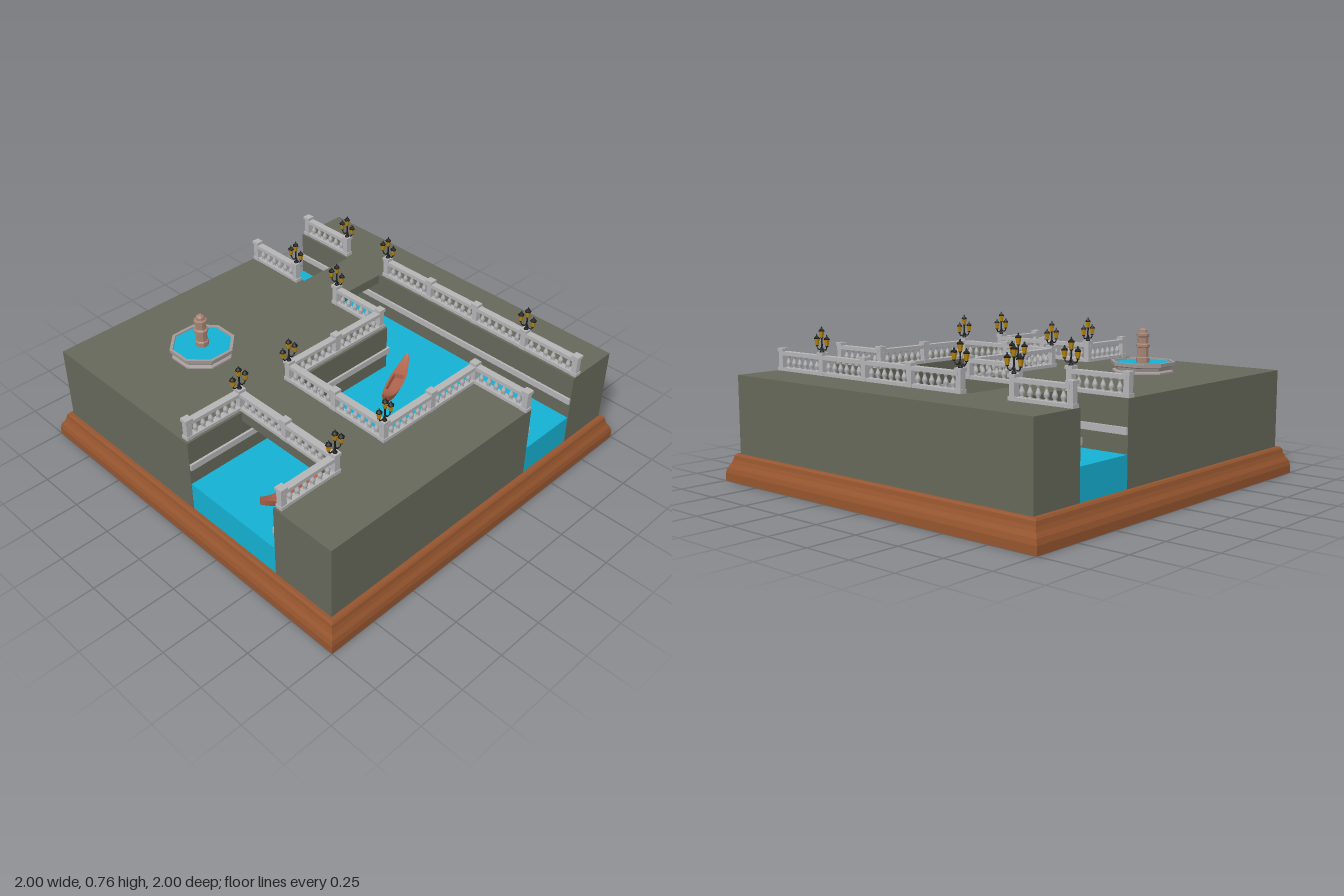
import * as THREE from 'three';
import { mergeGeometries } from 'three/addons/utils/BufferGeometryUtils.js';

const mat = (color, opts = {}) => new THREE.MeshStandardMaterial({ color, ...opts });
const M = {
  wood: mat(0x96552e, { flatShading: true }),
  ground: mat(0x66685a),
  water: mat(0x14b0d2),
  stone: mat(0xb4b4b6),
  basin: mat(0xa39a98, { flatShading: true }),
  column: mat(0xa58474, { flatShading: true }),
  iron: mat(0x1c1c1c),
  glass: mat(0xb8860b, { flatShading: true }),
  boat: mat(0xb0644c, { flatShading: true, side: THREE.DoubleSide }),
};
const DECK = 0.525, BED = 0.135, WATER = 0.285, STEP = 0.307;

function add(parent, name, geometry, material) {
  const mesh = new THREE.Mesh(geometry, material);
  mesh.name = name;
  parent.add(mesh);
  return mesh;
}
// Box given by its limits on each axis
function span(x0, x1, y0, y1, z0, z1) {
  return new THREE.BoxGeometry(x1 - x0, y1 - y0, z1 - z0)
    .translate((x0 + x1) / 2, (y0 + y1) / 2, (z0 + z1) / 2);
}
const lathe = (pts, n) => new THREE.LatheGeometry(pts.map(p => new THREE.Vector2(...p)), n);

// One balustrade bay along +x, starting at the origin
function bayGeometry() {
  const parts = [
    span(0, STEP, 0, 0.016, -0.017, 0.017),
    span(0, STEP, 0.078, 0.097, -0.018, 0.018),
  ];
  const baluster = lathe([[0.011, 0.014], [0.011, 0.02], [0.006, 0.024], [0.013, 0.036],
    [0.011, 0.046], [0.005, 0.062], [0.005, 0.068], [0.01, 0.072], [0.01, 0.08]], 8);
  for (let i = 0; i < 6; i++) parts.push(baluster.clone().translate(STEP * (i + 1) / 7, 0, 0));
  return mergeGeometries(parts);
}
function postGeometry() {
  return mergeGeometries([
    span(-0.019, 0.019, 0, 0.018, -0.019, 0.019),
    span(-0.015, 0.015, 0, 0.1, -0.015, 0.015),
    span(-0.02, 0.02, 0.096, 0.112, -0.02, 0.02),
  ]);
}

// Street lamp with three lanterns spread along x
function createLamp() {
  const lamp = new THREE.Group();
  lamp.name = 'streetLamp';
  const iron = [
    lathe([[0, 0], [0.012, 0], [0.01, 0.008], [0.004, 0.016], [0.004, 0.07], [0, 0.07]], 8),
  ];
  const glass = [];
  for (const [x, y] of [[-0.037, 0.028], [0, 0.066], [0.037, 0.028]]) {
    glass.push(lathe([[0, 0.006], [0.008, 0.006], [0.014, 0.038], [0, 0.038]], 6).translate(x, y, 0));
    iron.push(lathe([[0, 0], [0.006, 0.002], [0.009, 0.007], [0, 0.007]], 6).translate(x, y, 0));
    iron.push(lathe([[0, 0.037], [0.016, 0.037], [0.013, 0.044], [0.005, 0.05], [0.003, 0.058], [0, 0.062]], 6)
      .translate(x, y, 0));
    if (x) {
      const curve = new THREE.CatmullRomCurve3([[0, 0.034], [x * 0.35, 0.016], [x * 0.8, 0.016], [x, 0.03]]
        .map(p => new THREE.Vector3(p[0], p[1], 0)));
      iron.push(new THREE.TubeGeometry(curve, 10, 0.003, 5));
    }
  }
  add(lamp, 'lampFrame', mergeGeometries(iron), M.iron);
  add(lamp, 'lanternGlass', mergeGeometries(glass), M.glass);
  return lamp;
}

// Boat lofted from closed cross-sections along z, with a sunken cockpit
function boatGeometry(half) {
  const stations = [];
  for (let i = 0; i <= 20; i++) {
    const s = -1 + i / 10;
    const inside = Math.abs(s) < 0.35;
    if (i === 7 || i === 14) stations.push([s === 0 ? 0 : s, i === 14]);
    stations.push([s, inside]);
  }
  const pos = [], index = [], n = 8;
  for (const [s, open] of stations) {
    const w = 0.039 * Math.pow(Math.max(0, 1 - s * s), 0.8) + 0.0015;
    const lift = Math.pow(Math.abs(s), 3);
    const keel = -0.006 + lift * 0.055;
    const top = 0.033 + lift * (s > 0 ? 0.06 : 0.045);
    const floor = open ? 0.012 : top + 0.003;
    const ring = [[0, keel], [w * 0.65, keel + 0.006], [w, top], [w * 0.72, top + 0.002],
      [w * 0.6, floor], [-w * 0.6, floor], [-w * 0.72, top + 0.002], [-w, top], [-w * 0.65, keel + 0.006]];
    for (const [x, y] of ring) pos.push(x, y, s * half);
  }
  const m = n + 1;
  for (let i = 0; i < stations.length - 1; i++) {
    for (let j = 0; j < m; j++) {
      const a = i * m + j, b = i * m + (j + 1) % m;
      index.push(a, b, a + m, b, b + m, a + m);
    }
  }
  const g = new THREE.BufferGeometry();
  g.setAttribute('position', new THREE.Float32BufferAttribute(pos, 3));
  g.setIndex(index);
  g.computeVertexNormals();
  return g;
}

export function createModel() {
  const model = new THREE.Group();
  model.name = 'canalDiorama';

  // Moulded square plinth
  const r = Math.SQRT2;
  add(model, 'plinth', lathe([[0, 0], [r, 0], [r, 0.04], [0.993 * r, 0.065], [0.98 * r, 0.085],
    [0.972 * r, 0.105], [0.968 * r, 0.125], [0.96 * r, BED], [0, BED]], 4).rotateY(Math.PI / 4), M.wood);

  // Quays and the two flat bridges
  add(model, 'backQuay', span(-0.94, 0.94, BED, DECK, -0.95, -0.66), M.ground);
  add(model, 'leftQuay', span(-0.94, 0.03, BED, DECK, -0.335, 0.945), M.ground);
  add(model, 'rightQuay', span(0.595, 0.94, BED, DECK, -0.335, 0.945), M.ground);
  add(model, 'sideBridge', span(-0.58, -0.34, 0.475, DECK, -0.66, -0.335), M.ground);
  add(model, 'frontBridge', span(0.03, 0.595, 0.475, DECK, 0.285, 0.628), M.ground);

  // Canal water
  add(model, 'crossCanal', span(-0.938, 0.938, BED, WATER, -0.66, -0.335), M.water);
  add(model, 'frontCanal', span(0.03, 0.595, BED, WATER, -0.335, 0.943), M.water);

  // Stone ledges along the canal walls
  const y0 = 0.37, y1 = 0.402, d = 0.012;
  add(model, 'canalLedges', mergeGeometries([
    span(-0.94, 0.94, y0, y1, -0.66, -0.66 + d),
    span(-0.94, 0.03 + d, y0, y1, -0.335 - d, -0.335),
    span(0.595 - d, 0.94, y0, y1, -0.335 - d, -0.335),
    span(0.03, 0.03 + d, y0, y1, -0.335, 0.943),
    span(0.595 - d, 0.595, y0, y1, -0.335, 0.943),
  ]), M.stone);

  // Balustrades: start x, start z, number of bays, runs along z
  const bay = bayGeometry(), post = postGeometry();
  const runs = [
    [-0.92, -0.69, 1, false], [-0.307, -0.69, 4, false],
    [-0.92, -0.31, 1, false], [-0.307, -0.31, 1, false], [0.617, -0.31, 1, false],
    [0, -0.31, 2, true], [0.617, -0.31, 2, true],
    [0, 0.304, 2, false], [0, 0.608, 2, false],
    [0, 0.608, 1, true], [0.617, 0.608, 1, true],
  ];
  const bays = [], posts = new Map();
  for (const [x, z, n, alongZ] of runs) {
    for (let i = 0; i <= n; i++) {
      const px = x + (alongZ ? 0 : i * STEP), pz = z + (alongZ ? i * STEP : 0);
      posts.set(px.toFixed(1) + ',' + pz.toFixed(1), post.clone().translate(px, DECK, pz));
      if (i < n) bays.push(bay.clone().rotateY(alongZ ? -Math.PI / 2 : 0).translate(px, DECK, pz));
    }
  }
  add(model, 'balustrades', mergeGeometries(bays), M.stone);
  add(model, 'balustradePosts', mergeGeometries([...posts.values()]), M.stone);

  // Lamps on the posts at the bridge corners
  const lamps = [
    [-0.613, -0.69], [-0.307, -0.69], [0.617, -0.69], [-0.613, -0.31], [-0.307, -0.31],
    [0, 0.304, 1], [0.617, 0.304, 1], [0, 0.608, 1], [0.617, 0.608, 1],
  ];
  for (const [x, z, turned] of lamps) {
    const lamp = createLamp();
    lamp.position.set(x, DECK + 0.11, z);
    if (turned) lamp.rotation.y = Math.PI / 2;
    model.add(lamp);
  }

  // Octagonal fountain
  const fountain = new THREE.Group();
  fountain.name = 'fountain';
  fountain.position.set(-0.46, DECK, 0.456);
  fountain.rotation.y = Math.PI / 8;
  add(fountain, 'basin', lathe([[0.155, 0], [0.155, 0.008], [0.14, 0.014], [0.145, 0.03], [0.162, 0.036],
    [0.164, 0.054], [0.148, 0.054], [0.146, 0.035]], 8), M.basin);
  add(fountain, 'basinWater', new THREE.CylinderGeometry(0.148, 0.14, 0.01, 8).translate(0, 0.041, 0), M.water);
  add(fountain, 'column', lathe([[0.034, 0.03], [0.034, 0.07], [0.028, 0.075], [0.028, 0.12], [0.036, 0.124],
    [0.036, 0.136], [0.027, 0.142], [0.027, 0.172], [0.033, 0.176], [0.033, 0.19], [0.023, 0.194],
    [0.021, 0.208], [0.012, 0.216], [0, 0.218]], 8), M.column);
  model.add(fountain);

  // Boats
  for (const [x, z, half, turn] of [[0.187, -0.238, 0.2, 0.44], [0.42, 0.645, 0.2, -0.15]]) {
    const boat = add(model, 'boat', boatGeometry(half), M.boat);
    boat.position.set(x, WATER + 0.002, z);
    boat.rotation.y = turn;
  }
  return model;
}
